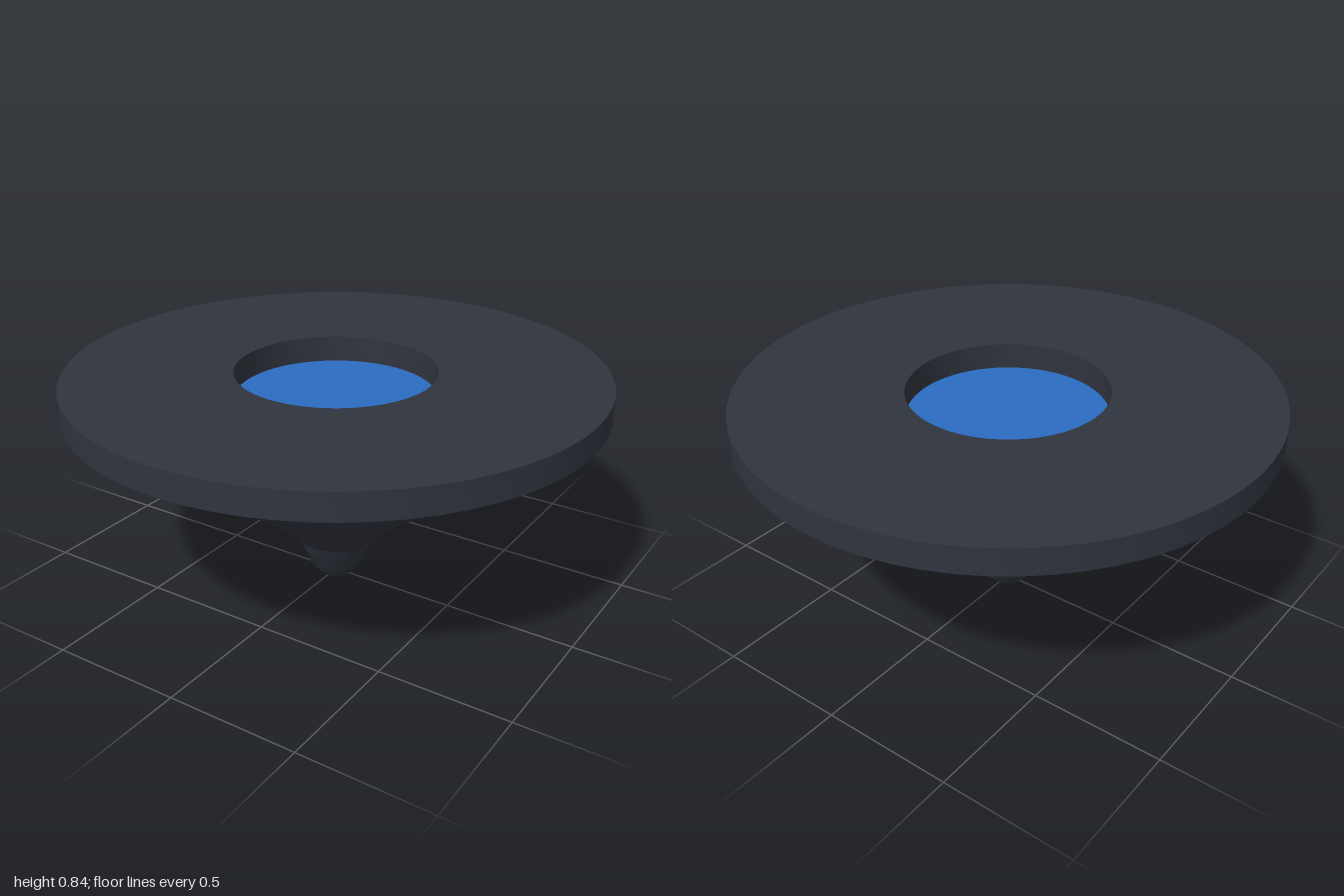
import * as THREE from 'three';
import { toCreasedNormals } from 'three/addons/utils/BufferGeometryUtils.js';

const SEGMENTS = 64;

// Revolve a [radius, height] profile, keeping sharp edges sharp
function revolve(name, profile, material) {
  const points = profile.map(([r, y]) => new THREE.Vector2(r, y));
  const geometry = toCreasedNormals(new THREE.LatheGeometry(points, SEGMENTS), 0.35);
  const mesh = new THREE.Mesh(geometry, material);
  mesh.name = name;
  return mesh;
}

// Flat disc facing up (direction 1) or down (direction -1)
function disc(name, radius, y, direction, material) {
  const geometry = new THREE.CircleGeometry(radius, SEGMENTS).rotateX(-direction * Math.PI / 2);
  const mesh = new THREE.Mesh(geometry, material);
  mesh.name = name;
  mesh.position.y = y;
  return mesh;
}

export function createModel() {
  const group = new THREE.Group();
  group.name = 'spinningTop';
  const dark = new THREE.MeshStandardMaterial({ color: 0x30343e, side: THREE.DoubleSide });
  const blue = new THREE.MeshStandardMaterial({ color: 0x2b6dc2 });

  // Tapered body with a straight rim band, from tip to top
  const body = [
    [0.06, 0], [0.095, 0.037], [0.15, 0.16], [0.305, 0.3],
    [0.635, 0.55], [0.748, 0.683], [0.748, 0.733],
  ];
  group.add(revolve('body', body, dark));

  // Blue end faces of the body
  group.add(disc('topFace', 0.748, 0.733, 1, blue));
  group.add(disc('tipFace', 0.06, 0, -1, blue));

  // Flat ring floating just above the body
  const ring = [[0.375, 0.743], [1, 0.743], [1, 0.843], [0.375, 0.843], [0.375, 0.743]];
  group.add(revolve('ring', ring, dark));

  return group;
}
